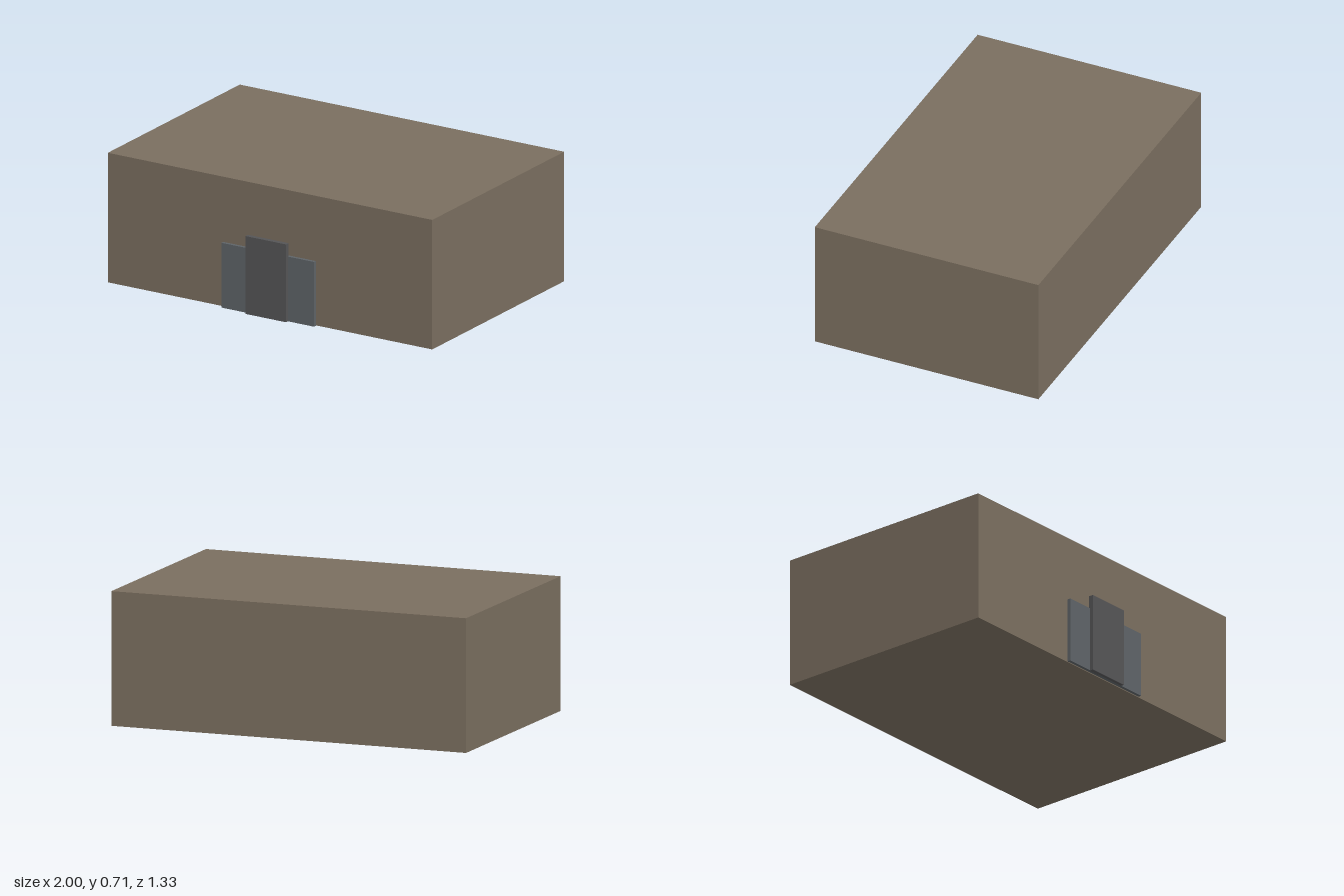
import * as THREE from 'three';

export function createModel() {
  const group = new THREE.Group();

  // Box standing on the ground, placed by its front face
  function block(name, width, height, depth, frontZ, color) {
    const mesh = new THREE.Mesh(
      new THREE.BoxGeometry(width, height, depth),
      new THREE.MeshStandardMaterial({ color })
    );
    mesh.name = name;
    mesh.position.set(0, height / 2, frontZ - depth / 2);
    group.add(mesh);
  }

  // Main hall
  block('buildingBody', 2, 0.714, 1.286, 0.622, 0x7a6e5f);
  // Wide entrance surround, standing just clear of the wall
  block('entranceSurround', 0.571, 0.357, 0.018, 0.6455, 0x5e6367);
  // Taller door slab, overlapping the surround
  block('doorSlab', 0.25, 0.429, 0.025, 0.6635, 0x545456);

  return group;
}
